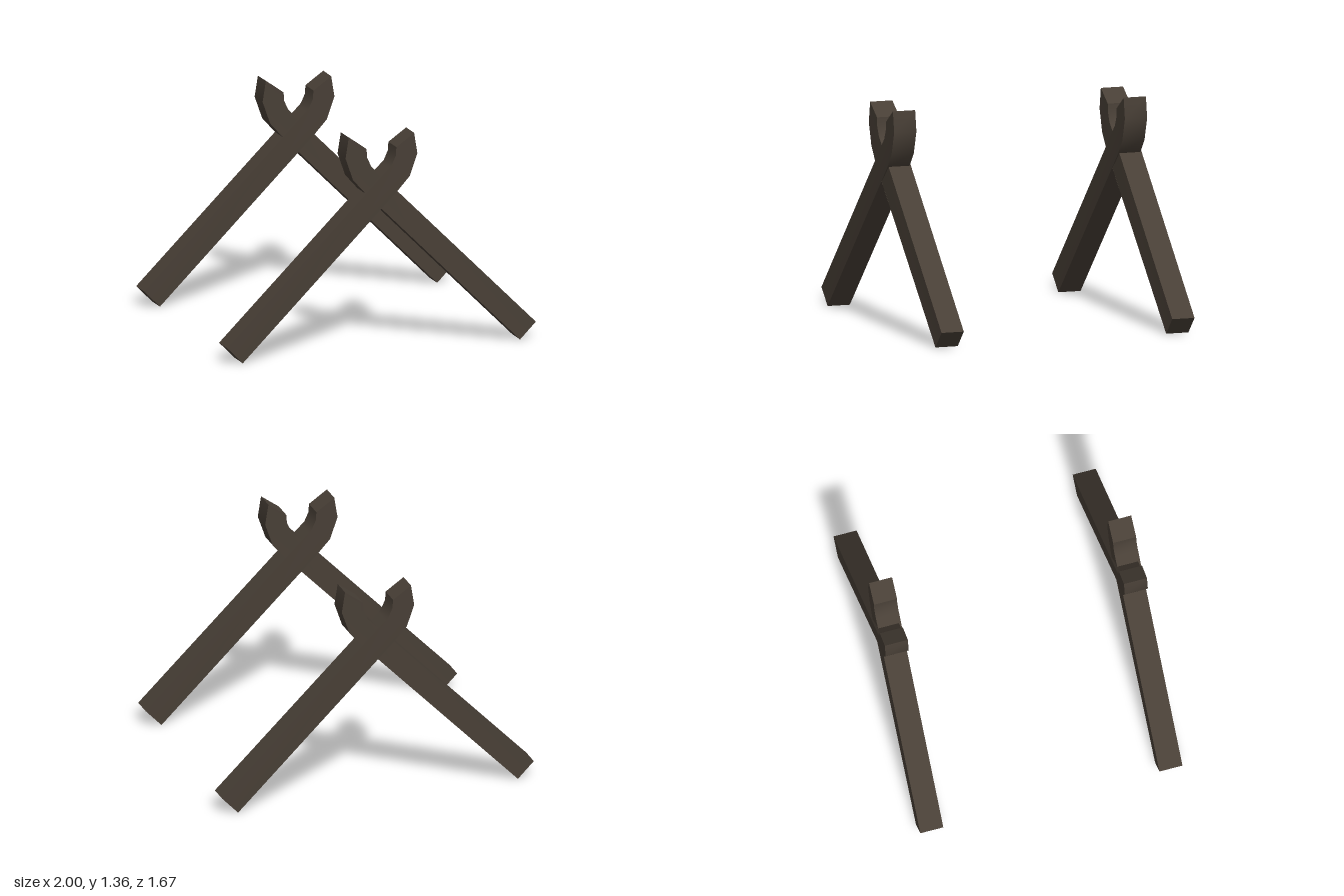
import * as THREE from 'three';
import { toCreasedNormals } from 'three/addons/utils/BufferGeometryUtils.js';

const DEPTH = 0.146;    // thickness of each stick
const FRAME_Z = 0.757;  // distance of each frame from the centre

// One stick: a straight leg rising at 45 degrees that bends upward into a hooked prong
function stickGeometry() {
  const outline = [
    [-0.898, 0], [0.085, 0.983], [0.102, 1.0],               // underside of the leg
    [0.182, 1.091], [0.23, 1.23], [0.209, 1.36],             // outer curve to the tip
    [0.094, 1.279], [0.09, 1.225], [0.064, 1.168],           // inner curve
    [0.045, 1.149], [-1, 0.104],                             // top of the leg
  ].map(([x, y]) => new THREE.Vector2(x, y));
  const geometry = new THREE.ExtrudeGeometry(new THREE.Shape(outline), { depth: DEPTH, bevelEnabled: false });
  geometry.translate(0, 0, -DEPTH / 2);

  // The prong leans slightly out of the plane of the leg
  const p = geometry.attributes.position;
  for (let i = 0; i < p.count; i++) {
    const lean = 0.0075 * THREE.MathUtils.clamp((p.getY(i) - 0.98) / 0.15, 0, 1);
    p.setZ(i, p.getZ(i) + lean);
  }
  return toCreasedNormals(geometry, 0.6);
}

export function createModel() {
  const model = new THREE.Group();
  model.name = 'forkedStand';
  const darkWood = new THREE.MeshStandardMaterial({ color: 0x483f36 });
  darkWood.name = 'darkWood';
  const geometry = stickGeometry();

  // Two frames, each made of two crossed sticks
  for (const [name, z] of [['frontFrame', FRAME_Z], ['backFrame', -FRAME_Z]]) {
    const frame = new THREE.Group();
    frame.name = name;
    frame.position.z = z;
    const rightFootStick = new THREE.Mesh(geometry, darkWood);
    rightFootStick.name = 'rightFootStick';
    const leftFootStick = new THREE.Mesh(geometry, darkWood);
    leftFootStick.name = 'leftFootStick';
    leftFootStick.rotation.y = Math.PI;
    frame.add(rightFootStick, leftFootStick);
    model.add(frame);
  }
  return model;
}
